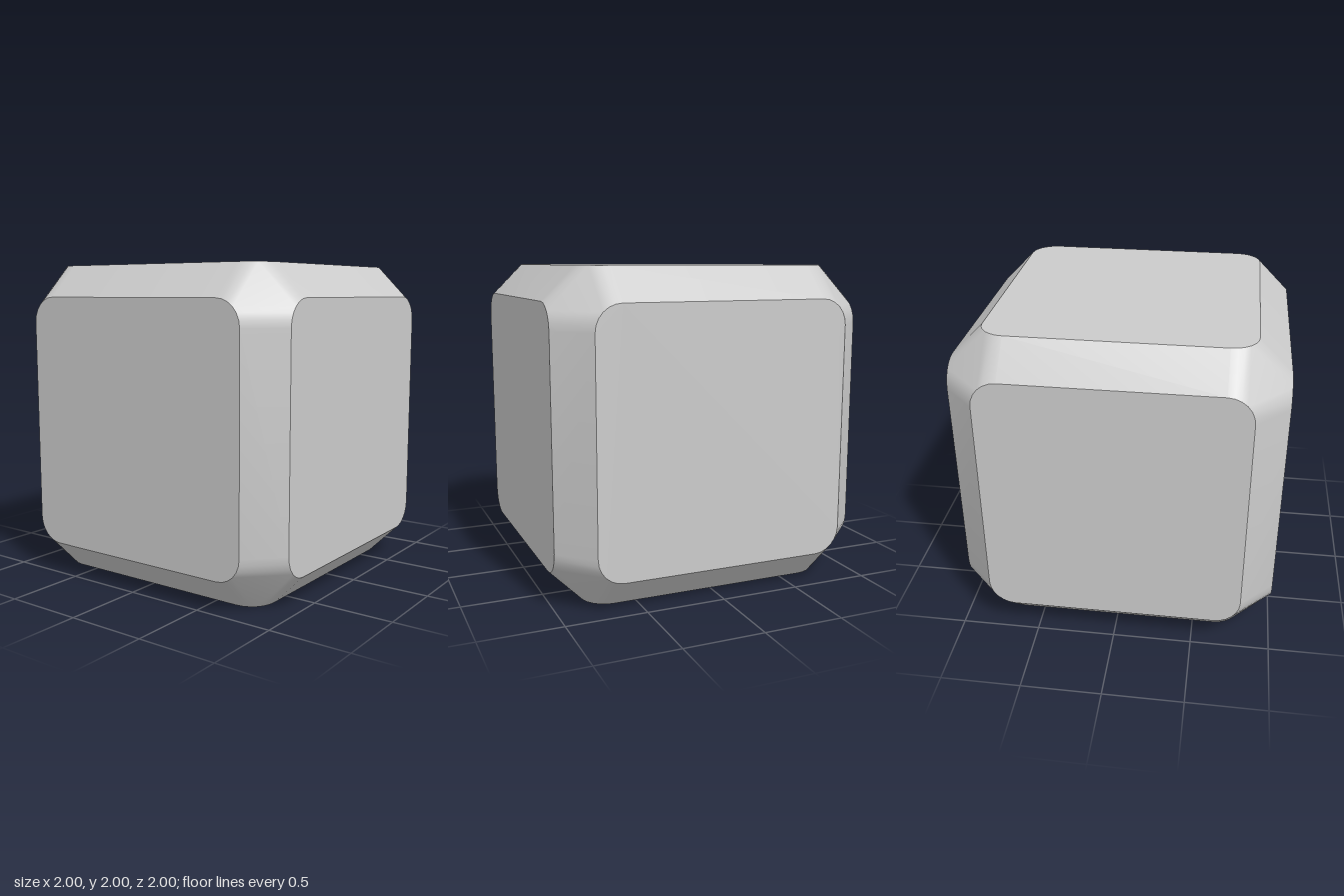
import * as THREE from 'three';
import { ConvexGeometry } from 'three/addons/geometries/ConvexGeometry.js';
import { toCreasedNormals } from 'three/addons/utils/BufferGeometryUtils.js';

const HALF = 1;      // half the cube's side
const FACE = 0.8;    // half the side of each flat face, inside the bevel
const RADIUS = 0.16; // corner rounding of each flat face
const STEPS = 6;     // segments per rounded corner

// Outline of one flat face: a square with rounded corners
function faceOutline() {
  const points = [];
  const c = FACE - RADIUS;
  for (const [sx, sy] of [[1, 1], [-1, 1], [-1, -1], [1, -1]]) {
    for (let i = 0; i <= STEPS; i++) {
      const a = (i / STEPS) * Math.PI / 2;
      points.push([sx * (c + RADIUS * Math.cos(a)), sy * (c + RADIUS * Math.sin(a))]);
    }
  }
  return points;
}

export function createModel() {
  const group = new THREE.Group();
  group.name = 'bevelledCube';

  // Six rounded faces, joined by flat bevels and softened corners
  const points = [];
  for (const side of [-HALF, HALF]) {
    for (const [u, v] of faceOutline()) {
      points.push(
        new THREE.Vector3(u, v, side),
        new THREE.Vector3(side, u, v),
        new THREE.Vector3(v, side, u)
      );
    }
  }

  // Crease between face and bevel, smooth shading from bevel into corner
  const geometry = toCreasedNormals(new ConvexGeometry(points), THREE.MathUtils.degToRad(40));
  const cube = new THREE.Mesh(geometry, new THREE.MeshStandardMaterial({ color: 0xcccccc }));
  cube.name = 'cubeBody';
  cube.position.y = HALF;
  group.add(cube);
  return group;
}
